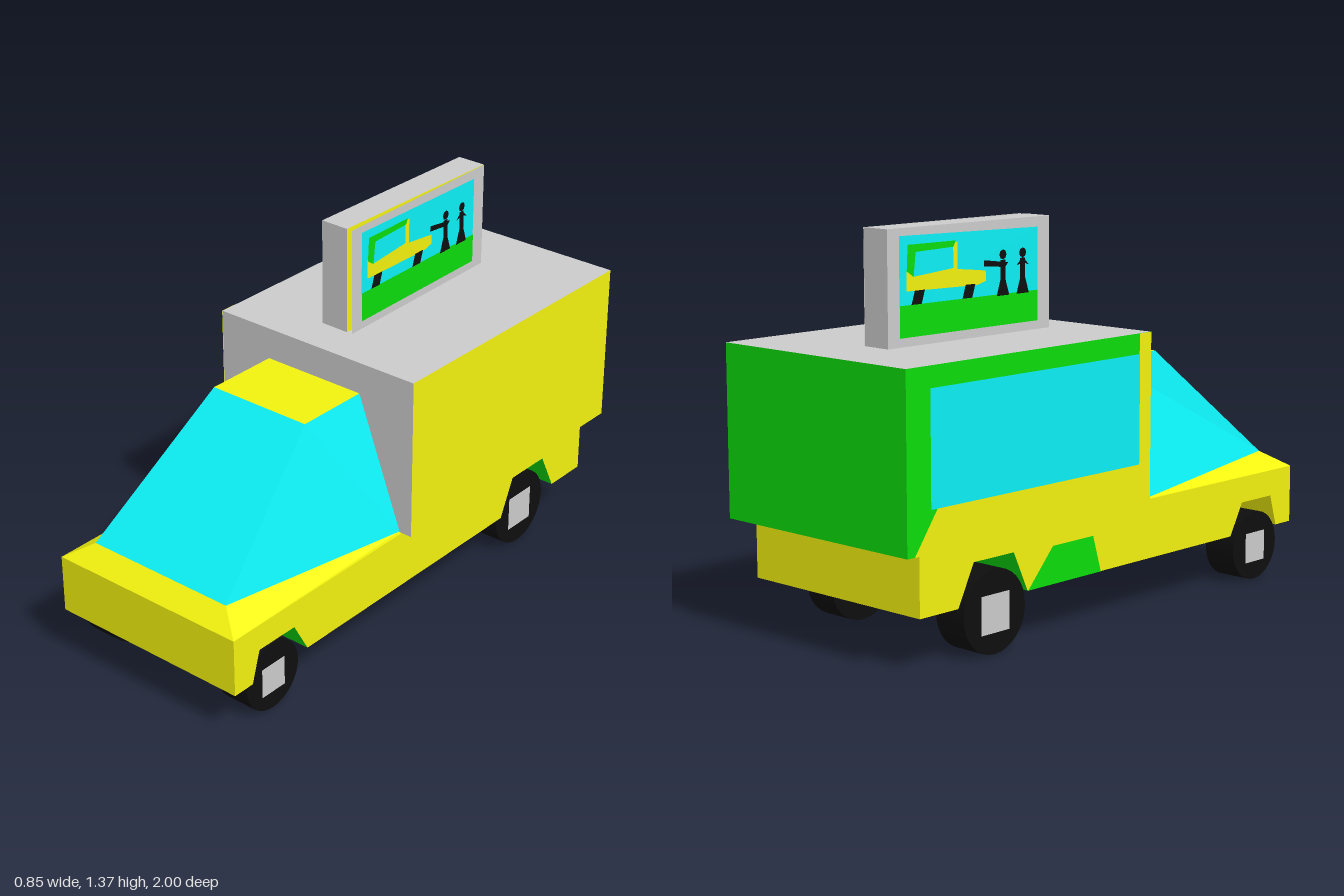
import * as THREE from 'three';

const COLORS = { yellow: 0xf2f20f, green: 0x0cdc0c, cyan: 0x0cf0f5, grey: 0xcccccc, black: 0x0e0e0e };
const mats = {};
for (const [name, color] of Object.entries(COLORS)) {
  mats[name] = new THREE.MeshStandardMaterial({ color, side: THREE.DoubleSide });
}

function addMesh(parent, name, geometry, material) {
  const mesh = new THREE.Mesh(geometry, material);
  mesh.name = name;
  parent.add(mesh);
  return mesh;
}

// Convex flat panel from corners in counter-clockwise order
function panel(parent, name, color, corners) {
  const pos = [];
  for (let i = 1; i < corners.length - 1; i++) pos.push(...corners[0], ...corners[i], ...corners[i + 1]);
  const g = new THREE.BufferGeometry();
  g.setAttribute('position', new THREE.Float32BufferAttribute(pos, 3));
  g.computeVertexNormals();
  return addMesh(parent, name, g, mats[color]);
}

// Flat outline in the local xy plane
function flat(parent, name, color, points, z = 0) {
  const shape = new THREE.Shape(points.map(([x, y]) => new THREE.Vector2(x, y)));
  const mesh = addMesh(parent, name, new THREE.ShapeGeometry(shape), mats[color]);
  mesh.position.z = z;
  return mesh;
}

// Outline of [z, y] points standing on the plane at x, facing outwards (s = 1 or -1)
function sidePanel(parent, name, color, points, x, s) {
  const mesh = flat(parent, name, color, points.map(([z, y]) => [-s * z, y]));
  mesh.rotation.y = s * Math.PI / 2;
  mesh.position.x = x;
  return mesh;
}

const rect = (x0, y0, x1, y1) => [[x0, y0], [x1, y0], [x1, y1], [x0, y1]];

// Colours in the order +x, -x, +y, -y, +z, -z
function colourBox(parent, name, min, max, colors) {
  const size = max.map((v, i) => v - min[i]);
  const mesh = addMesh(parent, name, new THREE.BoxGeometry(...size), colors.map(c => mats[c]));
  mesh.position.set(...max.map((v, i) => (v + min[i]) / 2));
  return mesh;
}

function createChassis() {
  const g = new THREE.Group();
  g.name = 'chassis';
  const L = -0.40, R = 0.38;
  // Outline with both wheel channels, as [z, y, colour of the strip that starts here]
  const outline = [
    [1, 0.39, 'yellow'], [1, 0.18, 'yellow'],
    [0.915, 0.18, 'yellow'], [0.88, 0.295, 'yellow'], [0.71, 0.295, 'green'], [0.645, 0.18, 'green'],
    [-0.43, 0.18, 'green'], [-0.495, 0.32, 'green'], [-0.68, 0.32, 'green'], [-0.75, 0.18, 'green'],
    [-0.92, 0.18, 'yellow'], [-0.92, 0.39, 'yellow'],
  ];
  outline.forEach(([z, y, color], i) => {
    const [z2, y2] = outline[(i + 1) % outline.length];
    panel(g, 'chassisStrip', color, [[L, y, z], [L, y2, z2], [R, y2, z2], [R, y, z]]);
  });
  sidePanel(g, 'rightChassisSide', 'yellow', outline, L, -1);
  sidePanel(g, 'leftChassisSide', 'yellow', outline, R, 1);
  sidePanel(g, 'sidePatch', 'green', [[-0.43, 0.18], [-0.07, 0.18], [-0.11, 0.31], [-0.31, 0.31]], L - 0.003, -1);
  return g;
}

function createCab() {
  const g = new THREE.Group();
  g.name = 'cab';
  // Corner pairs, [right, left]
  const at = (xs, y, z) => xs.map(x => [x, y, z]);
  const nose = at([-0.40, 0.38], 0.39, 1);
  const sill = at([-0.31, 0.28], 0.445, 0.925);
  const roofFront = at([-0.215, 0.19], 0.865, 0.43);
  const roofBack = at([-0.215, 0.19], 0.865, 0.15);
  const base = at([-0.40, 0.37], 0.393, 0.15);
  const across = (name, color, lo, hi) => panel(g, name, color, [lo[0], lo[1], hi[1], hi[0]]);
  across('hood', 'yellow', nose, sill);
  across('windscreen', 'cyan', sill, roofFront);
  across('cabRoof', 'yellow', roofFront, roofBack);
  for (const i of [0, 1]) {
    const order = pts => (i ? pts : pts.reverse());
    panel(g, 'sideWindow', 'cyan', order([roofFront[i], sill[i], base[i], roofBack[i]]));
    panel(g, 'sideSill', 'yellow', order([nose[i], base[i], sill[i]]));
  }
  return g;
}

function createCargoBox() {
  const g = new THREE.Group();
  g.name = 'cargoBox';
  colourBox(g, 'cargoBody', [-0.43, 0.39, -1], [0.42, 0.98, 0.15],
    ['yellow', 'green', 'grey', 'grey', 'grey', 'green']);
  // Painted serving side
  sidePanel(g, 'lowerBand', 'yellow', [[-0.97, 0.39], [0.15, 0.39], [0.15, 0.53], [-0.87, 0.53]], -0.432, -1);
  sidePanel(g, 'frontBand', 'yellow', rect(0.09, 0.53, 0.15, 0.98), -0.432, -1);
  sidePanel(g, 'servingWindow', 'cyan', rect(-0.9, 0.53, 0.09, 0.91), -0.434, -1);
  return g;
}

// Billboard picture: a truck and two figures on grass
function createPicture() {
  const g = new THREE.Group();
  g.name = 'signPicture';
  const z = [0.0015, 0.003, 0.0045];
  flat(g, 'sky', 'cyan', [[0.05, 0.13], [0.69, 0.13], [0.69, 0.35], [0.05, 0.36]], z[0]);
  flat(g, 'grass', 'green', rect(0.05, 0.03, 0.69, 0.135), z[1]);
  // Truck
  flat(g, 'truckBody', 'yellow', [[0.08, 0.18], [0.40, 0.175], [0.44, 0.185], [0.44, 0.22],
    [0.40, 0.225], [0.31, 0.235], [0.31, 0.325], [0.29, 0.325], [0.29, 0.24], [0.11, 0.225], [0.08, 0.25]], z[1]);
  flat(g, 'truckTop', 'green', [[0.08, 0.245], [0.11, 0.225], [0.12, 0.305], [0.29, 0.31], [0.30, 0.33], [0.085, 0.33]], z[2]);
  for (const x of [0.13, 0.36]) {
    flat(g, 'truckWheel', 'black', [[x - 0.03, 0.135], [x + 0.015, 0.135], [x + 0.03, 0.18], [x - 0.015, 0.18]], z[2]);
  }
  // Figures
  for (const x of [0.52, 0.615]) {
    flat(g, 'figureLegs', 'black', [[x - 0.03, 0.13], [x + 0.03, 0.13], [x + 0.01, 0.19], [x - 0.01, 0.19]], z[2]);
    flat(g, 'figureBody', 'black', rect(x - 0.012, 0.18, x + 0.012, 0.25), z[2]);
    const head = addMesh(g, 'figureHead', new THREE.CircleGeometry(0.017, 8), mats.black);
    head.position.set(x, 0.268, z[2]);
  }
  flat(g, 'pointingArm', 'black', [[0.43, 0.235], [0.53, 0.225], [0.545, 0.24], [0.43, 0.255]], z[2]);
  flat(g, 'foldedArms', 'black', [[0.585, 0.225], [0.615, 0.235], [0.645, 0.225], [0.615, 0.255]], z[2]);
  return g;
}

function createSign() {
  const g = new THREE.Group();
  g.name = 'roofSign';
  const block = new THREE.Group();
  block.name = 'signBlock';
  colourBox(block, 'signBody', [-0.11, 0, -0.75], [0, 0.385, 0],
    ['yellow', 'grey', 'grey', 'grey', 'grey', 'grey']);
  const rear = createPicture();
  rear.rotation.y = -Math.PI / 2;
  rear.position.set(-0.11, 0, -0.75);
  block.add(rear);
  block.position.set(0.01, 0.98, 0);
  block.rotation.y = -0.0133;
  g.add(block);
  // Thin board standing slightly open from the block
  const board = new THREE.Group();
  board.name = 'signBoard';
  flat(board, 'boardBacking', 'grey', rect(0, 0, 0.75, 0.385));
  board.add(createPicture());
  board.position.set(0.033, 0.98, 0);
  board.rotation.y = Math.PI / 2 + 0.015;
  g.add(board);
  return g;
}

function createWheel(name, x, z, r, hub) {
  const g = new THREE.Group();
  g.name = name;
  const s = Math.sign(x);
  const tyre = addMesh(g, 'tyre', new THREE.CylinderGeometry(r, r, 0.125, 32), mats.black);
  tyre.rotation.z = Math.PI / 2;
  const plate = addMesh(g, 'hubPlate', new THREE.PlaneGeometry(hub, hub), mats.grey);
  plate.rotation.y = s * Math.PI / 2;
  plate.position.set(s * 0.0655, -0.005, 0);
  g.position.set(x, r, z);
  return g;
}

export function createModel() {
  const model = new THREE.Group();
  model.name = 'foodTruck';
  model.add(createChassis(), createCab(), createCargoBox(), createSign());
  for (const x of [-0.343, 0.283]) {
    model.add(createWheel('frontWheel', x, 0.78, 0.126, 0.11));
    model.add(createWheel('rearWheel', x, -0.59, 0.142, 0.13));
  }
  return model;
}
